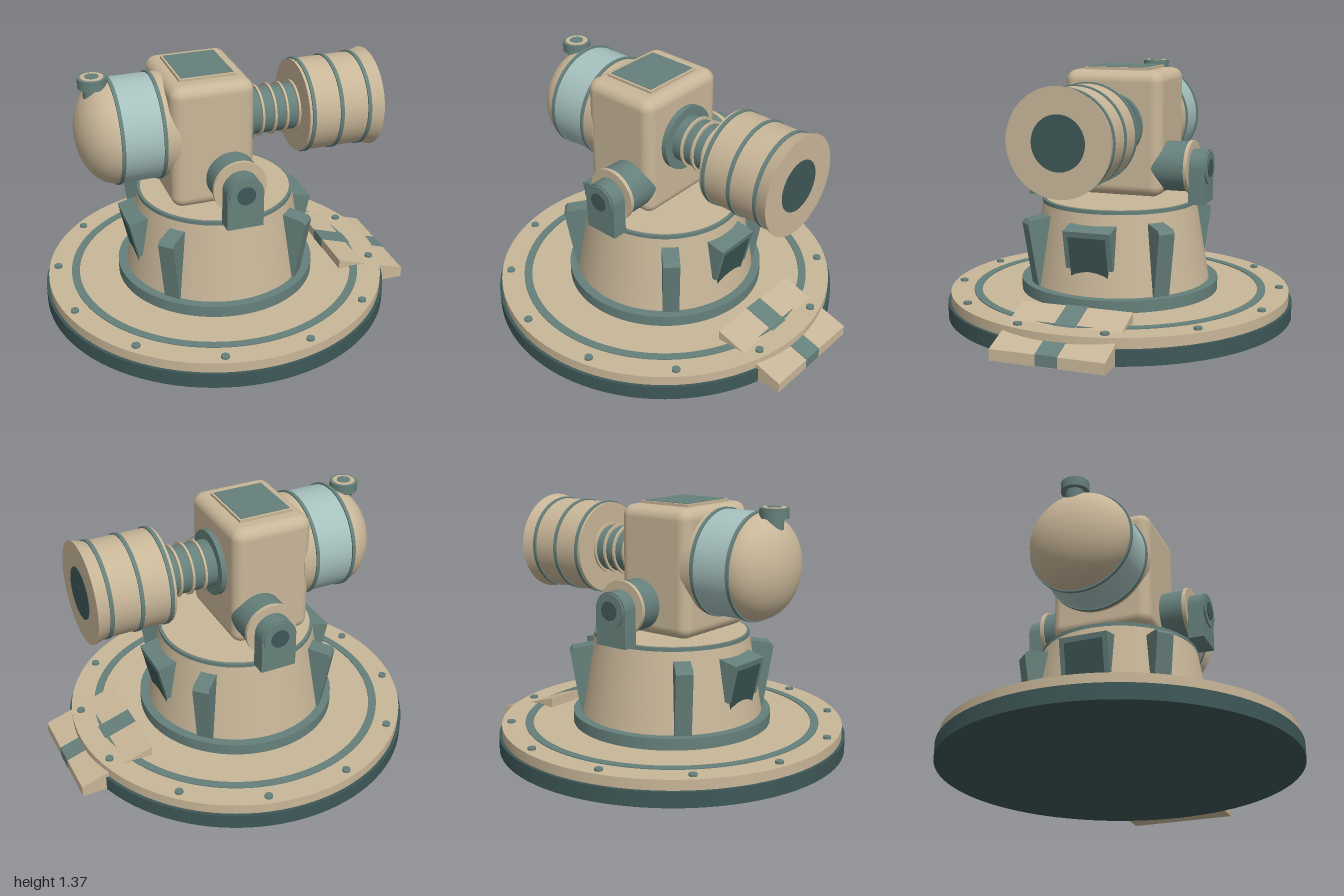
import * as THREE from 'three';
import { RoundedBoxGeometry } from 'three/addons/geometries/RoundedBoxGeometry.js';
import { toCreasedNormals } from 'three/addons/utils/BufferGeometryUtils.js';

const material = (name, color) => {
  const m = new THREE.MeshStandardMaterial({ color });
  m.name = name;
  return m;
};

export function createModel() {
  const sand = material('sand', 0xc8b698);
  const teal = material('slate teal', 0x66807b);
  const pale = material('pale teal', 0xa5c0bd);
  const dark = material('dark teal', 0x3e5757);

  const model = new THREE.Group();
  model.name = 'turret';
  const CX = -0.043; // vertical axis of base and mount
  const AXIS = 1.053; // height of the barrel axis

  const add = (parent, name, geometry, mat, x = 0, y = 0, z = 0) => {
    const mesh = new THREE.Mesh(geometry, mat);
    mesh.name = name;
    mesh.position.set(x, y, z);
    parent.add(mesh);
    return mesh;
  };
  const group = (parent, name, x, y, z) => {
    const g = new THREE.Group();
    g.name = name;
    g.position.set(x, y, z);
    parent.add(g);
    return g;
  };
  // upright cylinder between two heights
  const disc = (parent, name, mat, r0, r1, y0, y1, x = 0, z = 0, seg = 72) =>
    add(parent, name, new THREE.CylinderGeometry(r1, r0, y1 - y0, seg), mat, x, (y0 + y1) / 2, z);
  // cylinder along x between two positions
  const barrel = (parent, name, mat, r0, r1, x0, x1) =>
    add(parent, name, new THREE.CylinderGeometry(r1, r0, x1 - x0, 64).rotateZ(-Math.PI / 2), mat, (x0 + x1) / 2);
  // side profile in x and y, extruded evenly about z = 0
  const prism = (points, width) =>
    new THREE.ExtrudeGeometry(new THREE.Shape(points.map(p => new THREE.Vector2(...p))),
      { depth: width, bevelEnabled: false }).translate(0, 0, -width / 2);

  // Round base
  const base = group(model, 'base', CX, 0, 0);
  disc(base, 'baseDisc', dark, 0.957, 0.957, 0, 0.082, 0, 0, 96);
  disc(base, 'baseDeck', sand, 0.94, 0.94, 0.082, 0.137, 0, 0, 96);
  const ringShape = new THREE.Shape().absarc(0, 0, 0.812, 0, Math.PI * 2);
  ringShape.holes.push(new THREE.Path().absarc(0, 0, 0.768, 0, Math.PI * 2, true));
  const ring = new THREE.ExtrudeGeometry(ringShape, { depth: 0.007, bevelEnabled: false, curveSegments: 96 });
  add(base, 'deckRing', toCreasedNormals(ring.rotateX(-Math.PI / 2), 0.5), teal, 0, 0.135, 0);
  for (let i = 0; i < 12; i++) {
    const a = (i + 0.5) * Math.PI / 6;
    disc(base, 'deckBolt', teal, 0.022, 0.022, 0.13, 0.149, Math.cos(a) * 0.89, Math.sin(a) * 0.89, 16);
  }

  // Access ramp with a centre stripe
  add(model, 'ramp', prism([[0.6, 0.003], [1, 0.003], [1, 0.062], [0.6, 0.191]], 0.6), sand);
  add(model, 'rampStripe', prism([[0.597, 0.006], [1.002, 0.006], [1.002, 0.065], [0.597, 0.195]], 0.115), teal);

  // Pedestal
  disc(base, 'pedestalCollar', teal, 0.546, 0.546, 0.135, 0.2);
  disc(base, 'pedestal', sand, 0.497, 0.425, 0.2, 0.628);
  disc(base, 'pedestalRim', teal, 0.426, 0.426, 0.625, 0.645);
  disc(base, 'pedestalTop', sand, 0.41, 0.41, 0.643, 0.648);

  // Diagonal buttresses
  for (let i = 0; i < 4; i++) {
    const g = group(base, 'buttress', 0, 0, 0);
    g.rotation.y = Math.PI / 4 + i * Math.PI / 2;
    add(g, 'buttressRib', prism([[0.46, 0.2], [0.505, 0.2], [0.56, 0.54], [0.545, 0.56], [0.42, 0.578]], 0.09), teal);
  }

  // Hooded vents on both ends
  for (const turn of [0, Math.PI]) {
    const side = group(base, 'ventSide', 0, 0, 0);
    side.rotation.y = turn;
    const vent = group(side, 'vent', 0.52, 0.545, 0);
    vent.rotation.z = -0.22;
    add(vent, 'ventHood', new THREE.BoxGeometry(0.16, 0.21, 0.26), teal, -0.08, -0.105, 0);
    add(vent, 'ventPanel', new THREE.BoxGeometry(0.1, 0.25, 0.205), dark, -0.046, -0.155, 0);
  }

  // Trunnions and their brackets
  const bracketShape = new THREE.Shape();
  bracketShape.moveTo(-0.098, -0.19);
  bracketShape.lineTo(0.098, -0.19);
  bracketShape.lineTo(0.098, 0);
  bracketShape.absarc(0, 0, 0.098, 0, Math.PI);
  bracketShape.closePath();
  const bracketGeometry = toCreasedNormals(new THREE.ExtrudeGeometry(bracketShape,
    { depth: 0.085, bevelEnabled: false, curveSegments: 24 }), 0.5);
  for (const turn of [0, Math.PI]) {
    const t = group(model, 'trunnion', CX, 0.832, 0);
    t.rotation.y = turn;
    const axle = (name, mat, r, z0, z1) =>
      add(t, name, new THREE.CylinderGeometry(r, r, z1 - z0, 48).rotateX(Math.PI / 2), mat, 0, 0, (z0 + z1) / 2);
    axle('trunnionDrum', teal, 0.135, 0.2, 0.408);
    axle('trunnionFlange', sand, 0.144, 0.402, 0.422);
    add(t, 'bracket', bracketGeometry, teal, 0, 0, 0.42);
    axle('bracketBoss', teal, 0.09, 0.5, 0.514);
    axle('bracketPin', dark, 0.05, 0.5, 0.518);
  }

  // Central housing with a top hatch
  add(model, 'housing', new RoundedBoxGeometry(0.445, 0.675, 0.55, 6, 0.06), sand, -0.13, 1.008, 0);
  add(model, 'hatchFrame', new THREE.BoxGeometry(0.304, 0.03, 0.352), sand, -0.132, 1.345, 0);
  add(model, 'hatchPanel', new THREE.BoxGeometry(0.28, 0.006, 0.325), teal, -0.132, 1.36, 0);

  // Rear drum and dome
  const gun = group(model, 'gun', 0, AXIS, 0);
  const dome = [];
  for (let i = 0; i <= 16; i++) {
    const a = (i / 16) * Math.PI / 2;
    dome.push(new THREE.Vector2(0.277 * Math.sin(a), -0.605 - 0.192 * Math.cos(a)));
  }
  add(gun, 'rearDome', new THREE.LatheGeometry(dome, 64).rotateZ(-Math.PI / 2), sand);
  barrel(gun, 'drumBand', pale, 0.278, 0.278, -0.605, -0.385);
  barrel(gun, 'drumNeck', sand, 0.278, 0.278, -0.385, -0.31);
  for (const x of [-0.605, -0.387]) barrel(gun, 'drumRing', teal, 0.286, 0.286, x - 0.009, x + 0.009);

  // Filler cap on the dome
  disc(model, 'capStem', teal, 0.05, 0.05, 1.2, 1.32, -0.69, 0, 32);
  disc(model, 'cap', teal, 0.075, 0.075, 1.308, 1.36, -0.69, 0, 32);
  disc(model, 'capRing', sand, 0.06, 0.06, 1.355, 1.363, -0.69, 0, 32);
  disc(model, 'capCentre', teal, 0.036, 0.036, 1.355, 1.366, -0.69, 0, 32);

  // Ribbed neck
  barrel(gun, 'neckFlange', teal, 0.177, 0.177, 0.08, 0.122);
  barrel(gun, 'neck', teal, 0.127, 0.127, 0.12, 0.41);
  for (const x of [0.19, 0.26, 0.327, 0.395]) barrel(gun, 'neckRib', sand, 0.14, 0.14, x - 0.006, x + 0.006);

  // Front barrel with flared muzzle and lens
  barrel(gun, 'muzzleBody', sand, 0.252, 0.252, 0.405, 0.76);
  barrel(gun, 'muzzleFlare', sand, 0.25, 0.271, 0.755, 0.828);
  for (const x of [0.43, 0.59, 0.75]) barrel(gun, 'muzzleRing', teal, 0.259, 0.259, x - 0.01, x + 0.01);
  barrel(gun, 'lens', dark, 0.138, 0.138, 0.824, 0.831);

  return model;
}
